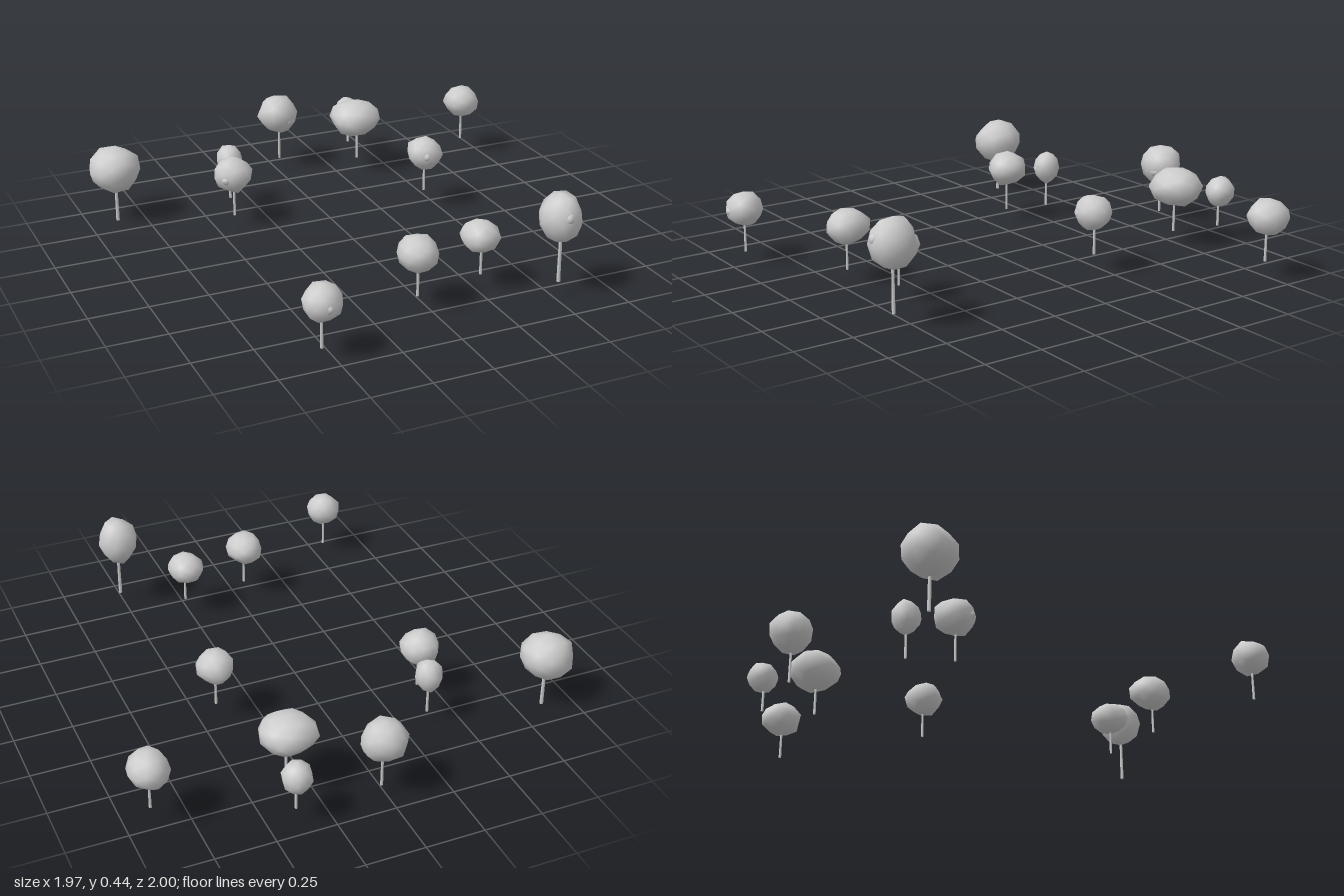
import * as THREE from 'three';
import { mergeVertices } from 'three/addons/utils/BufferGeometryUtils.js';

const material = new THREE.MeshStandardMaterial({ color: 0xcccccc });

// Each tree: trunk x, z, base y, then crown extents [x0, x1], [y0, y1], [z0, z1]
const TREES = [
  { at: [-0.87, -0.62, 0.0], x: [-0.985, -0.76], y: [0.14, 0.35], z: [-0.73, -0.51], r: 0.008 },
  { at: [0.02, -0.905, 0.05], x: [-0.085, 0.115], y: [0.18, 0.36], z: [-1.0, -0.82], tuft: [0.3, -0.2, 0.65] },
  { at: [0.39, -0.925, 0.07], x: [0.325, 0.45], y: [0.16, 0.295], z: [-1.0, -0.865] },
  { at: [0.34, -0.71, 0.07], x: [0.225, 0.45], y: [0.185, 0.355], z: [-0.835, -0.605] },
  { at: [0.90, -0.715, 0.08], x: [0.82, 0.985], y: [0.19, 0.35], z: [-0.81, -0.635], tuft: [0, 0.1, 0.75] },
  { at: [-0.365, -0.54, 0.05], x: [-0.42, -0.305], y: [0.15, 0.305], z: [-0.6, -0.48], tuft: [-0.1, 0, 0.75] },
  { at: [-0.415, -0.35, 0.05], x: [-0.505, -0.33], y: [0.165, 0.325], z: [-0.44, -0.265], tuft: [-0.5, -0.1, 0.5] },
  { at: [0.435, -0.19, 0.085], x: [0.355, 0.51], y: [0.19, 0.34], z: [-0.275, -0.105], tuft: [-0.2, 0.05, 0.75] },
  { at: [-0.045, 0.71, 0.06], x: [-0.125, 0.04], y: [0.165, 0.315], z: [0.61, 0.795] },
  { at: [0.265, 0.655, 0.07], x: [0.18, 0.34], y: [0.17, 0.31], z: [0.565, 0.73] },
  { at: [0.52, 0.835, 0.065], x: [0.425, 0.61], y: [0.235, 0.445], z: [0.735, 0.925], r: 0.008, tuft: [-0.1, 0.25, 0.75] },
  { at: [-0.545, 0.92, 0.045], x: [-0.62, -0.465], y: [0.16, 0.31], z: [0.84, 1.0], tuft: [0, -0.05, 0.77] },
];

function seeded(seed) {
  let s = seed;
  return () => (s = (s * 16807) % 2147483647) / 2147483647;
}

// Lumpy, smooth-shaded ball fitted to a box given by its centre and size
function lumpyBall(center, size, seed) {
  let geo = new THREE.IcosahedronGeometry(1, 1);
  geo.deleteAttribute('uv');
  geo.deleteAttribute('normal');
  geo = mergeVertices(geo, 1e-4);
  const rand = seeded(seed);
  const p = geo.attributes.position;
  const v = new THREE.Vector3();
  for (let i = 0; i < p.count; i++) {
    v.fromBufferAttribute(p, i).multiplyScalar(0.93 + 0.14 * rand());
    // slightly narrower towards the bottom
    const taper = 1 + 0.07 * Math.min(v.y, 0);
    p.setXYZ(i, v.x * taper, v.y, v.z * taper);
  }
  geo.rotateY(rand() * Math.PI);
  geo.computeBoundingBox();
  const fit = geo.boundingBox.getSize(new THREE.Vector3());
  geo.center();
  geo.scale(size.x / fit.x, size.y / fit.y, size.z / fit.z);
  geo.translate(center.x, center.y, center.z);
  geo.computeVertexNormals();
  return geo;
}

function addMesh(parent, name, geometry) {
  const mesh = new THREE.Mesh(geometry, material);
  mesh.name = name;
  parent.add(mesh);
  return mesh;
}

function makeTree(t, index) {
  const tree = new THREE.Group();
  tree.name = 'tree';
  const mid = ([a, b]) => (a + b) / 2;
  const len = ([a, b]) => b - a;
  const center = new THREE.Vector3(mid(t.x), mid(t.y), mid(t.z));
  const size = new THREE.Vector3(len(t.x), len(t.y), len(t.z));

  // Thin trunk running up into the crown
  const [x, z, base] = t.at;
  const r = t.r ?? 0.006;
  const height = center.y - base;
  const trunk = addMesh(tree, 'trunk', new THREE.CylinderGeometry(r * 0.75, r, height, 6));
  trunk.position.set(x, base + height / 2, z);

  addMesh(tree, 'crown', lumpyBall(center, size, 1013 + index * 7919));

  // Small clump of leaves poking out of the crown
  if (t.tuft) {
    const c = new THREE.Vector3(...t.tuft).multiply(size).multiplyScalar(0.5).add(center);
    addMesh(tree, 'leafTuft', lumpyBall(c, size.clone().multiplyScalar(0.26), 577 + index * 3571));
  }
  return tree;
}

export function createModel() {
  const model = new THREE.Group();
  model.name = 'treeGrove';
  TREES.forEach((t, i) => model.add(makeTree(t, i)));
  return model;
}
